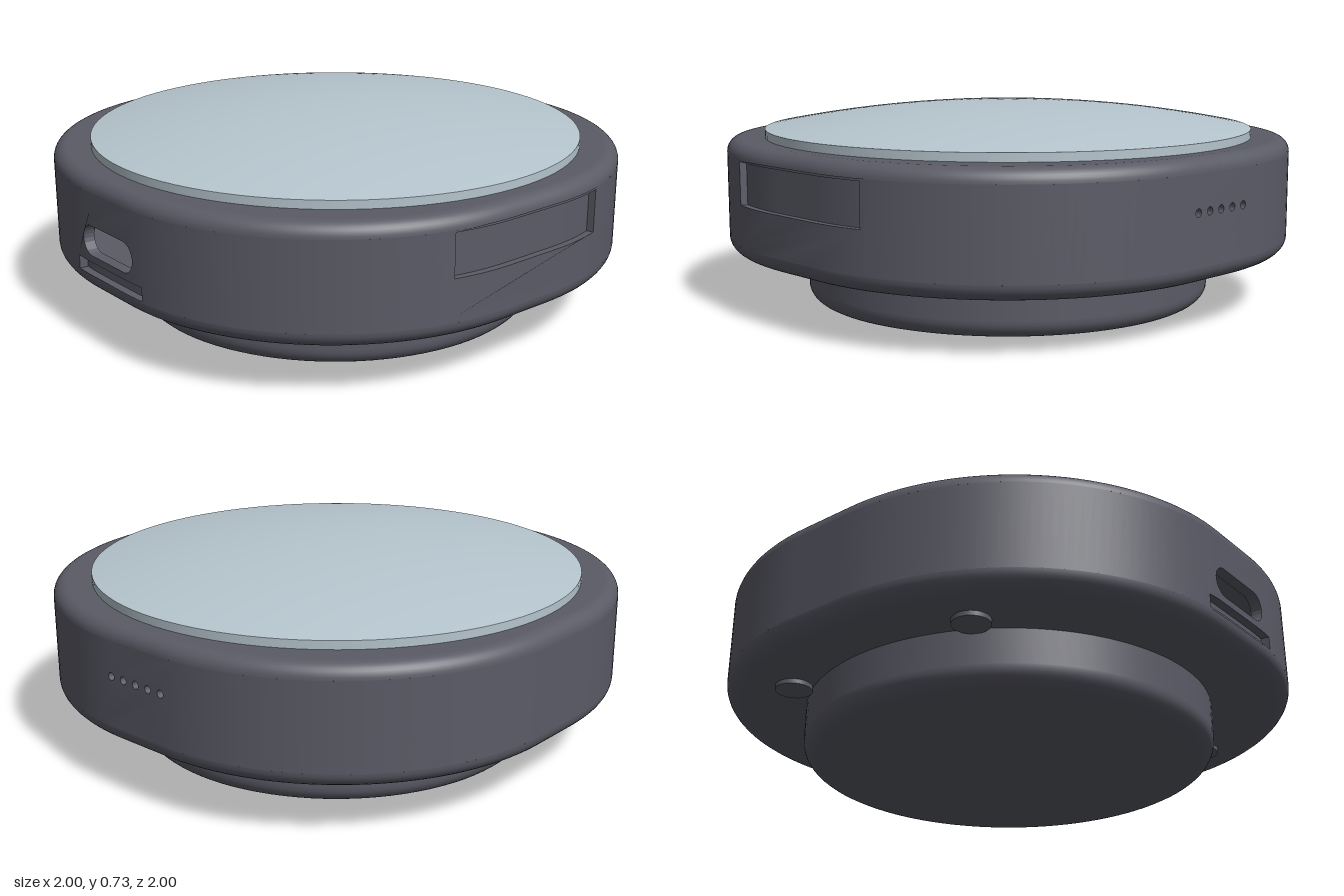
import * as THREE from 'three';

const K = 0.11, R = 0.89;                 // half flat and corner radius of the outline
const Q = 2 * K + Math.PI * R / 2;        // length of one side of the outline

// Wraps geometry laid out as (distance along outline, height, outward offset) round the body
function wrap(geo) {
  const p = geo.attributes.position, n = geo.attributes.normal;
  for (let i = 0; i < p.count; i++) {
    const s = p.getX(i), side = Math.round(s / Q), t = s - side * Q, sg = Math.sign(t);
    const a = Math.abs(t) > K ? sg * (Math.abs(t) - K) / R : 0;
    const bx = Math.abs(t) > K ? sg * K + R * Math.sin(a) : t;
    const bz = Math.abs(t) > K ? K + R * Math.cos(a) : 1;
    const th = side * Math.PI / 2, c = Math.cos(th), d = Math.sin(th);
    const ang = a + th, o = p.getZ(i);
    const nx = n.getX(i), nz = n.getZ(i);
    p.setXYZ(i, bx * c + bz * d + o * Math.sin(ang), p.getY(i), -bx * d + bz * c + o * Math.cos(ang));
    n.setXYZ(i, nx * Math.cos(ang) + nz * Math.sin(ang), n.getY(i), -nx * Math.sin(ang) + nz * Math.cos(ang));
  }
  return geo;
}

// Plain wrapped panel
function panel(s0, s1, y0, y1, out = 0) {
  const g = new THREE.PlaneGeometry(s1 - s0, y1 - y0, Math.ceil((s1 - s0) / 0.035), 1);
  return wrap(g.translate((s0 + s1) / 2, (y0 + y1) / 2, out));
}

// Profile of [outward offset, height] swept round the whole outline, top to bottom
function sweep(profile) {
  const n = profile.length, g = new THREE.PlaneGeometry(4 * Q, 1, 184, n - 1);
  const p = g.attributes.position;
  for (let i = 0; i < p.count; i++) {
    const [o, y] = profile[Math.floor(i / 185)];
    p.setXYZ(i, p.getX(i), y, o);
  }
  g.computeVertexNormals();
  return wrap(g);
}

// Rectangle outline subdivided along its length so that it can bend
function rectPoints(s0, s1, y0, y1) {
  const n = Math.ceil((s1 - s0) / 0.035), pts = [];
  for (let i = 0; i <= n; i++) pts.push(new THREE.Vector2(s0 + (s1 - s0) * i / n, y0));
  for (let i = n; i >= 0; i--) pts.push(new THREE.Vector2(s0 + (s1 - s0) * i / n, y1));
  return pts;
}

// Pill outline; equal to a circle when half is 0
function pillPoints(s, y, half, r) {
  const pts = [];
  for (let i = 0; i < 24; i++) {
    const a = (i + 0.5) / 24 * Math.PI * 2;
    pts.push(new THREE.Vector2(s + Math.sign(Math.cos(a)) * half + r * Math.cos(a), y + r * Math.sin(a)));
  }
  return pts;
}

// Wall section pierced by holes
function pierced(s, w, y0, y1, depth, holes) {
  const shape = new THREE.Shape(rectPoints(s - w, s + w, y0, y1));
  for (const h of holes) shape.holes.push(new THREE.Path(h));
  const g = new THREE.ExtrudeGeometry(shape, { depth, bevelEnabled: false });
  return wrap(g.translate(0, 0, -depth));
}

// Quarter-ellipse points
function arc(n, f) {
  return Array.from({ length: n + 1 }, (_, i) => f(Math.cos(i / n * Math.PI / 2), Math.sin(i / n * Math.PI / 2)));
}

export function createModel() {
  const model = new THREE.Group();
  const casing = new THREE.MeshStandardMaterial({ color: 0x5a5b66, side: THREE.DoubleSide });
  casing.name = 'slate grey casing';
  const glass = new THREE.MeshStandardMaterial({ color: 0xb6c5ce });
  glass.name = 'pale blue glass';
  const add = (name, geo, mat = casing, parent = model) => {
    const m = new THREE.Mesh(geo, mat);
    m.name = name;
    parent.add(m);
    return m;
  };

  // Hollow casing: rounded rims above and below an upright wall
  const Y0 = 0.25, Y1 = 0.56;
  const body = new THREE.Group();
  body.name = 'casing';
  model.add(body);
  add('topRim', sweep([[-0.25, 0.61], [-0.055, 0.61], ...arc(8, (c, s) => [-0.05 + 0.05 * s, Y1 + 0.05 * c])]), casing, body);
  add('bottomRim', sweep([...arc(8, (c, s) => [-0.07 + 0.07 * c, Y0 - 0.06 * s]), [-0.075, 0.19], [-0.38, 0.19]]), casing, body);
  const windows = [0.24, 0.38, 0.2, 0, 0.24];
  for (let q = 0; q < 4; q++) {
    add('wall', panel(q * Q + windows[q], (q + 1) * Q - windows[q + 1], Y0, Y1), casing, body);
  }

  // Front: charging port and narrow slot
  add('frontWall', pierced(0, windows[0], Y0, Y1, 0.04, [
    pillPoints(0, 0.385, 0.1, 0.055), rectPoints(-0.2, 0.2, 0.256, 0.305)]), casing, body);
  add('slotFloor', panel(-0.2, 0.2, 0.256, 0.305, -0.03), casing, body);

  // Right side of the outline: shallow label recess
  add('recessWall', pierced(Q, windows[1], Y0, Y1, 0.026, [
    rectPoints(Q - 0.338, Q + 0.338, 0.4, 0.553)]), casing, body);
  add('recessFloor', panel(Q - 0.338, Q + 0.338, 0.4, 0.553, -0.025), casing, body);

  // Back: row of five sound holes
  add('backWall', pierced(2 * Q, windows[2], Y0, Y1, 0.04,
    [-2, -1, 0, 1, 2].map(i => pillPoints(2 * Q + i * 0.06, 0.433, 0, 0.014))), casing, body);

  // Round base
  const v = (x, y) => new THREE.Vector2(x, y);
  add('base', new THREE.LatheGeometry([
    v(0, 0), v(0.69, 0), ...arc(8, (c, s) => v(0.695 + 0.06 * s, 0.06 - 0.06 * c)), v(0.755, 0.065), v(0.755, 0.195)], 96));

  // Four pads under the casing
  for (const x of [-0.71, 0.71]) for (const z of [-0.41, 0.41]) {
    add('pad', new THREE.CylinderGeometry(0.066, 0.066, 0.02, 32)).position.set(x, 0.183, z);
  }

  // Domed lens with an upright edge
  const lens = new THREE.Group();
  lens.name = 'lens';
  model.add(lens);
  const dome = Array.from({ length: 17 }, (_, i) => {
    const x = 0.905 * (1 - i / 16);
    return v(x, 0.64 + 0.088 * (1 - (x / 0.905) ** 2));
  });
  add('lensDome', new THREE.LatheGeometry(dome, 96), glass, lens);
  add('lensEdge', new THREE.CylinderGeometry(0.905, 0.905, 0.035, 96, 1, true), glass, lens).position.y = 0.6225;

  return model;
}
